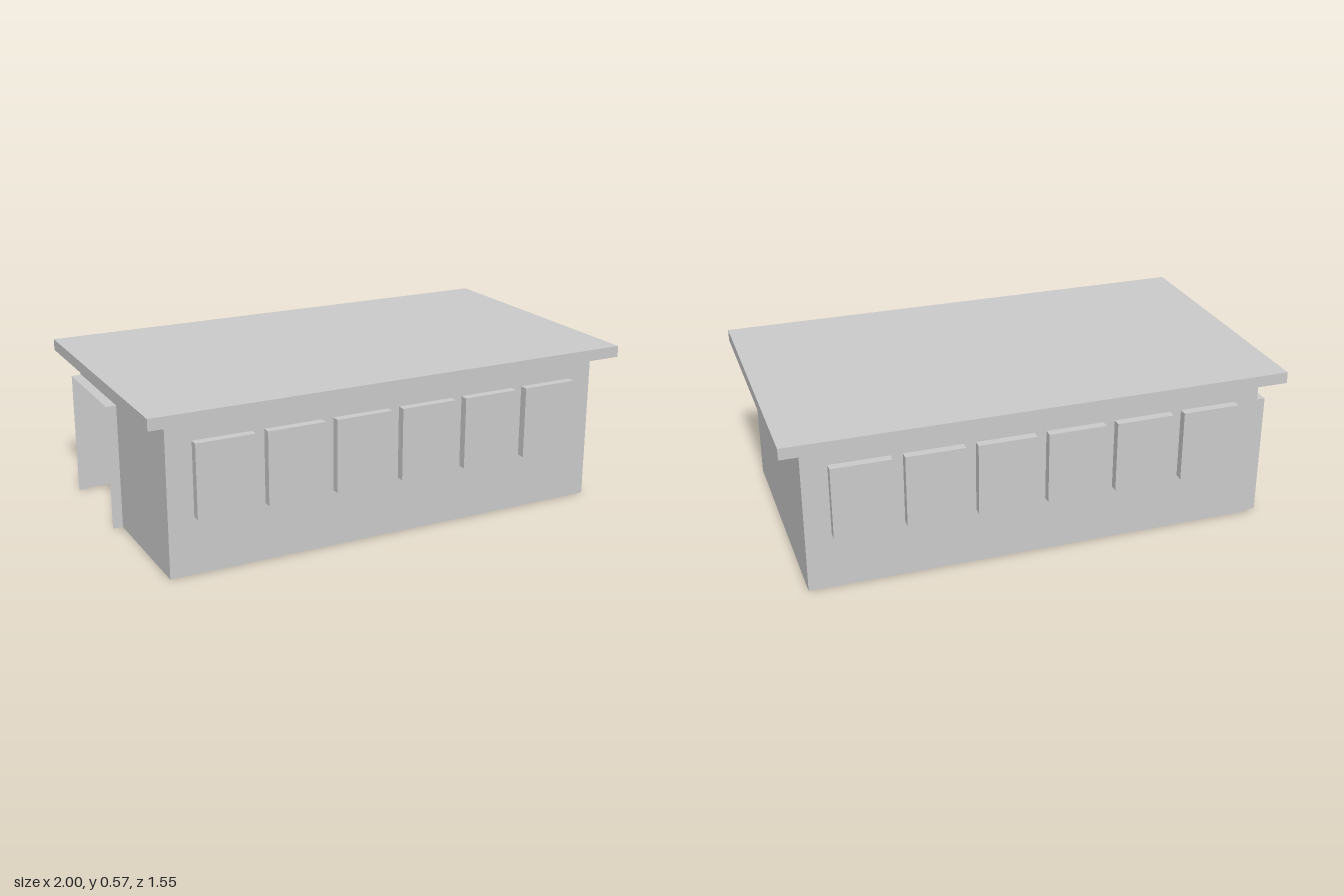
import * as THREE from 'three';

const HALF_L = 0.808, HALF_W = 0.44, WALL_H = 0.53;
const mat = new THREE.MeshStandardMaterial({ color: 0xcccccc, flatShading: true, side: THREE.DoubleSide });

function add(parent, geometry, name) {
  const mesh = new THREE.Mesh(geometry, mat);
  mesh.name = name;
  parent.add(mesh);
  return mesh;
}

// Thin sheet box that keeps only its first faces (order: +x, -x, +y, -y, +z, -z)
function openBox(w, h, d, faces) {
  const geo = new THREE.BoxGeometry(w, h, d);
  geo.setIndex(Array.from(geo.index.array).slice(0, faces * 6));
  geo.clearGroups();
  return geo;
}

// Group whose local +z points out of the building
function side(parent, name, angle, distance) {
  const g = new THREE.Group();
  g.name = name;
  g.rotation.y = angle;
  g.position.set(Math.sin(angle) * distance, 0, Math.cos(angle) * distance);
  parent.add(g);
  return g;
}

const outline = (points) => new THREE.Shape(points.map(([x, y]) => new THREE.Vector2(x, y)));
const rect = (x0, x1, y0, y1) => [[x0, y0], [x1, y0], [x1, y1], [x0, y1]];

// Long wall with six windows pushed outwards as shallow bays
function windowWall(parent, name, angle) {
  const g = side(parent, name, angle, HALF_W);
  const w = 0.205, y0 = 0.2, y1 = 0.455, depth = 0.03;
  const wall = outline(rect(-HALF_L, HALF_L, 0, WALL_H));
  for (let i = 0; i < 6; i++) {
    const x = (i - 2.5) * 0.2466;
    wall.holes.push(outline(rect(x - w / 2, x + w / 2, y0, y1)));
    add(g, openBox(w, y1 - y0, depth, 5), 'window').position.set(x, (y0 + y1) / 2, depth / 2);
  }
  add(g, new THREE.ShapeGeometry(wall), 'wall');
}

export function createModel() {
  const model = new THREE.Group();
  model.name = 'building';
  const house = new THREE.Group();
  house.name = 'house';
  house.rotation.y = THREE.MathUtils.degToRad(20.1);
  model.add(house);

  // Flat overhanging roof
  add(house, new THREE.BoxGeometry(1.762, 0.04, 1.004), 'roof').position.y = WALL_H + 0.02;

  windowWall(house, 'frontWall', 0);
  windowWall(house, 'backWall', Math.PI);

  // Plain end wall
  const plain = side(house, 'plainEnd', Math.PI / 2, HALF_L);
  add(plain, new THREE.ShapeGeometry(outline(rect(-HALF_W, HALF_W, 0, WALL_H))), 'endWall');

  // End wall with a doorway and its projecting surround
  const entry = side(house, 'entryEnd', -Math.PI / 2, HALF_L);
  const d0 = -0.43, d1 = -0.03, dh = 0.445, depth = 0.036;
  add(entry, new THREE.ShapeGeometry(outline([
    [-HALF_W, 0], [d0, 0], [d0, dh], [d1, dh], [d1, 0],
    [HALF_W, 0], [HALF_W, WALL_H], [-HALF_W, WALL_H],
  ])), 'entryWall');
  add(entry, openBox(d1 - d0, dh, depth, 3), 'doorSurround').position.set((d0 + d1) / 2, dh / 2, depth / 2);

  return model;
}
